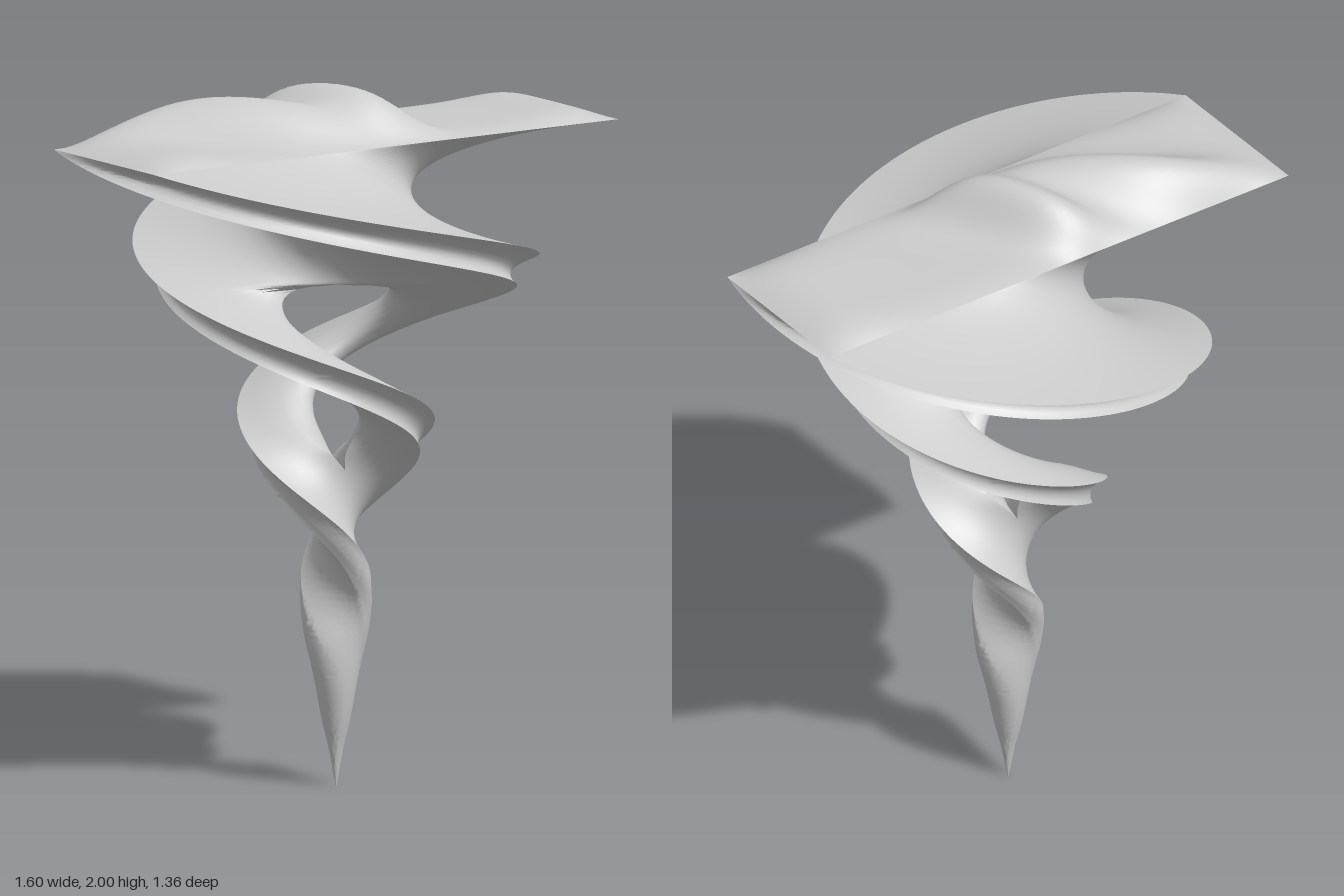
import * as THREE from 'three';
import { toCreasedNormals } from 'three/addons/utils/BufferGeometryUtils.js';

const TOP = 1.855;            // height of the rim
const QUARTER = 0.245;        // height of a quarter turn
const LEVELS = 260;

// Smooth curve through [y, value] points
function curve(pts) {
  const slope = (i) => {
    const a = pts[Math.max(i - 1, 0)], b = pts[Math.min(i + 1, pts.length - 1)];
    return (b[1] - a[1]) / (b[0] - a[0]);
  };
  return (y) => {
    let i = 0;
    while (i < pts.length - 2 && y > pts[i + 1][0]) i++;
    const [y0, v0] = pts[i], [y1, v1] = pts[i + 1];
    const d = y1 - y0, t = THREE.MathUtils.clamp((y - y0) / d, 0, 1), t2 = t * t, t3 = t2 * t;
    return v0 * (2 * t3 - 3 * t2 + 1) + v1 * (3 * t2 - 2 * t3)
      + d * (slope(i) * (t3 - 2 * t2 + t) + slope(i + 1) * (t3 - t2));
  };
}

// Half length, thickness ratio and inner radius of the twisted bar
const halfLength = curve([[0, 0.002], [0.1, 0.02], [0.2, 0.045], [0.4, 0.087], [0.55, 0.108], [0.7, 0.145],
  [0.95, 0.228], [1.18, 0.337], [1.43, 0.487], [1.68, 0.655], [TOP, 0.79]]);
const ratio = curve([[0, 1], [0.25, 0.92], [0.42, 0.75], [0.58, 0.42], [0.75, 0.33], [1.2, 0.31], [TOP, 0.315]]);
const holeCurve = curve([[0.91, 0], [0.96, 0.025], [1.05, 0.11], [1.18, 0.2], [1.3, 0.24], [1.38, 0.22],
  [1.43, 0.14], [1.455, 0]]);
const hole = (y) => (y <= 0.91 || y >= 1.455 ? 0 : Math.max(0, holeCurve(y)));

const SIDE = 10, END = 8, INNER = 6;

// One half of the bar's cross-section, as a closed loop at height y
function section(y, turn) {
  const L = halfLength(y), T = L * ratio(y), r = hole(y);
  const square = THREE.MathUtils.smoothstep(y, 0.3, 0.95);
  const groove = 0.04 * L * square * (1 - THREE.MathUtils.smoothstep(y, 1.8, TOP));
  const open = THREE.MathUtils.smoothstep(r, 0, 0.12);
  const p = [];
  const flank = (f, s) => {
    const taper = 1 - 0.35 * open * Math.pow(1 - f, 3);
    p.push([r + (L - r) * f, s * T * taper]);
  };
  for (let i = 0; i < SIDE; i++) flank(i / SIDE, -1);
  for (let i = 0; i < END; i++) {
    const v = -1 + 2 * i / END;
    p.push([L - groove * (1 - v * v), v * T]);
  }
  for (let i = 0; i < SIDE; i++) flank(1 - i / SIDE, 1);
  for (let i = 0; i < INNER; i++) {
    const v = 1 - 2 * i / INNER;
    p.push([r - 0.03 * open * (1 - v * v), v * T * (1 - 0.35 * open)]);
  }
  const angle = -(TOP - y) / QUARTER * Math.PI / 2 + turn;
  const c = Math.cos(angle), s = Math.sin(angle);
  return p.map(([u, v]) => {
    // round the section towards an ellipse near the tip
    const k = THREE.MathUtils.lerp(1 / Math.max(Math.hypot(u / L, v / T), 1), 1, square);
    return [k * (u * c - v * s), y, k * (u * s + v * c)];
  });
}

// Lofted twisted body made of two mirrored halves
function twistedBody() {
  const pos = [];
  const n = 2 * SIDE + END + INNER;
  for (const turn of [0, Math.PI]) {
    let low = section(0, turn);
    for (let l = 1; l <= LEVELS; l++) {
      const y0 = TOP * (l - 1) / LEVELS, y1 = TOP * l / LEVELS;
      const high = section(y1, turn);
      const solid = hole(y0) === 0 && hole(y1) === 0;
      const count = solid ? n - INNER : n;   // no inner wall where the halves join
      for (let i = 0; i < count; i++) {
        const j = (i + 1) % n;
        pos.push(...low[i], ...high[i], ...low[j], ...low[j], ...high[i], ...high[j]);
      }
      low = high;
    }
  }
  return pos;
}

// Height of the draped top, with two slanting folds
function topHeight(x, z, L, T) {
  const a = x / L, b = z / T;
  const rim = (1 - Math.pow(Math.abs(b), 5)) * (1 - Math.pow(Math.abs(a), 12));
  const fade = Math.max(0, 1 - Math.pow((b + 0.2) / 1.2, 2));
  const fold = (d, w) => Math.exp(-d * d / (w * w));
  const broad = 0.118 * fold(x + 0.27 - 1.1 * z, 0.19) * fade;
  const sharp = 0.118 * fold(x - 0.0 - 0.55 * z, 0.1) * fade;
  const end = 0.025 * fold(a - 0.88, 0.2) + 0.02 * fold(a + 0.85, 0.2);
  return TOP + rim * (0.012 + broad + sharp + end);
}

function drapedTop() {
  const L = halfLength(TOP), T = L * ratio(TOP), NX = 100, NZ = 40;
  let peak = 0;
  const at = (i, j) => {
    const x = L * (2 * i / NX - 1), z = T * (2 * j / NZ - 1);
    return [x, topHeight(x, z, L, T), z];
  };
  for (let i = 0; i <= NX; i++) for (let j = 0; j <= NZ; j++) peak = Math.max(peak, at(i, j)[1]);
  const fit = (2 - TOP) / (peak - TOP);
  const point = (i, j) => {
    const [x, y, z] = at(i, j);
    return [x, TOP + (y - TOP) * fit, z];
  };
  const pos = [];
  for (let i = 0; i < NX; i++) {
    for (let j = 0; j < NZ; j++) {
      const a = point(i, j), b = point(i, j + 1), c = point(i + 1, j), d = point(i + 1, j + 1);
      pos.push(...a, ...b, ...c, ...c, ...b, ...d);
    }
  }
  return pos;
}

function makeMesh(name, pos, material) {
  const g = new THREE.BufferGeometry();
  g.setAttribute('position', new THREE.Float32BufferAttribute(pos, 3));
  const mesh = new THREE.Mesh(toCreasedNormals(g, 0.7), material);
  mesh.name = name;
  return mesh;
}

export function createModel() {
  const group = new THREE.Group();
  group.name = 'twistedSculpture';
  const material = new THREE.MeshStandardMaterial({ color: 0xcccccc });
  group.add(makeMesh('twistedBody', twistedBody(), material));
  group.add(makeMesh('drapedTop', drapedTop(), material));
  return group;
}
